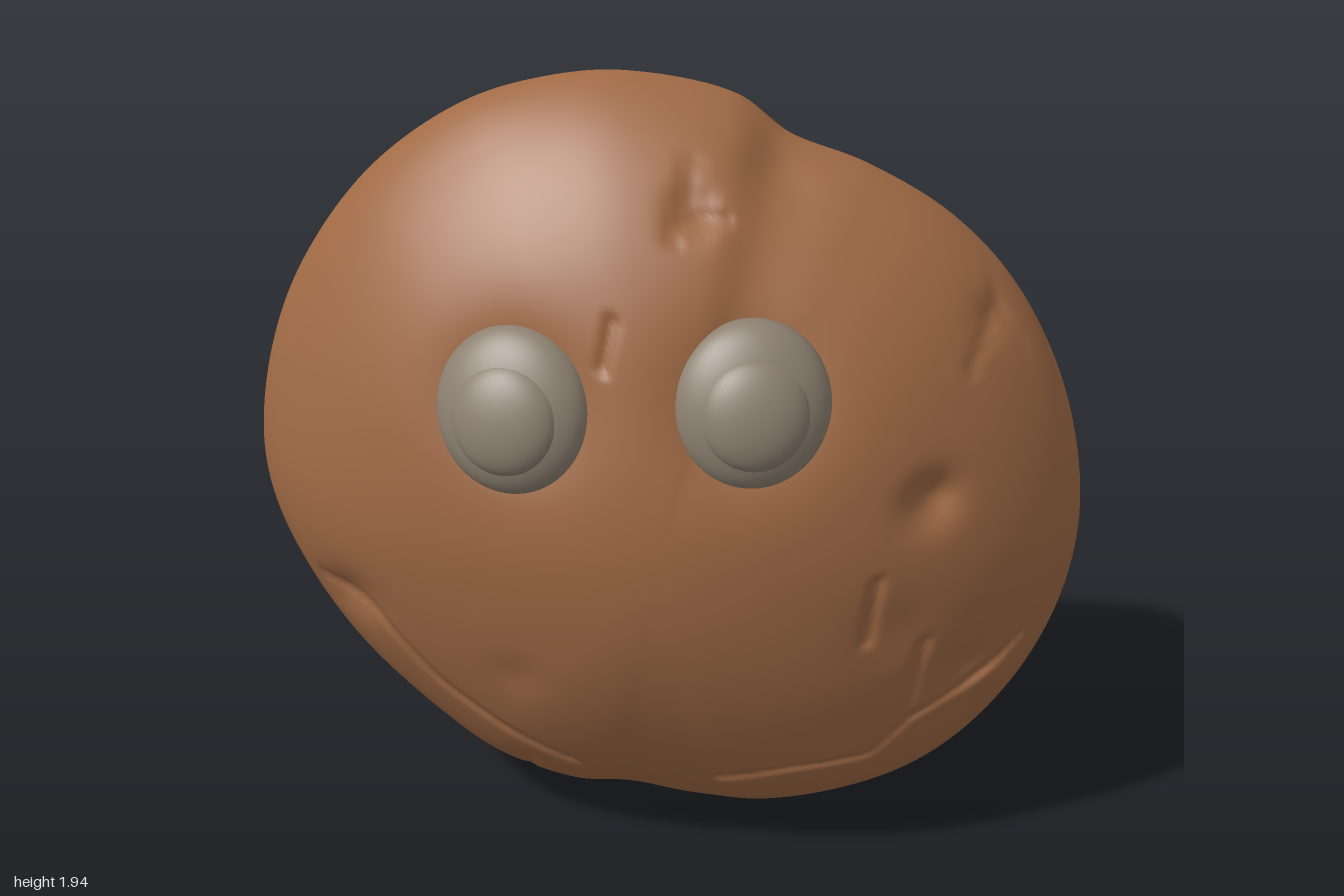
import * as THREE from 'three';

const CY = 0.97, BACK = -0.277, STEPS = 10, RINGS = 120;

// Lumpy rim, counter-clockwise from +x
const RIM = [
  [1, .88], [.94, 1.18], [.81, 1.44], [.65, 1.61], [.45, 1.73], [.27, 1.8], [.15, 1.89],
  [-.1, 1.94], [-.28, 1.925], [-.48, 1.86], [-.7, 1.7], [-.87, 1.47], [-.96, 1.25], [-1, 1],
  [-.98, .83], [-.9, .63], [-.78, .44], [-.6, .25], [-.45, .13], [-.25, .05], [-.1, .035],
  [.1, .01], [.25, 0], [.45, .04], [.63, .12], [.77, .24], [.9, .43], [.98, .65],
];
// Dents and sockets: x, y, depth, radius (negative depth is a bump)
const DENTS = [
  [-.33, 1.29, .06, .16], [.2, 1.31, .06, .16], [.07, 1.71, .03, .05], [.62, 1.05, .045, .06],
  [.76, 1.42, .03, .05], [.27, 1.79, .05, .08], [-.76, .68, .035, .07], [.8, .5, -.025, .08],
  [.72, .55, .03, .07], [-.1, .06, .03, .09], [.55, .72, .012, .1], [-.35, .58, .008, .06],
];
// Cracks: chains of x, y points
const CRACKS = [
  [[-.84, .7], [-.7, .66], [-.55, .48], [-.4, .37], [-.23, .26]],
  [[.13, .23], [.3, .28], [.5, .3], [.58, .4], [.62, .67]],
  [[.58, .41], [.72, .48], [.87, .6]],
  [[.7, 1.32], [.76, 1.42], [.75, 1.5]], [[.76, 1.42], [.84, 1.32]],
  [[.02, 1.66], [.06, 1.8]], [[.02, 1.68], [.14, 1.69]],
  [[-.36, .1], [-.34, .24]], [[-.03, .09], [-.02, .17]], [[.48, .7], [.5, .87]],
  [[.17, 1.87], [.24, 1.8], [.42, 1.73]], [[-.13, 1.4], [-.11, 1.5]],
];

function segmentDistance(x, y, [ax, ay], [bx, by]) {
  const dx = bx - ax, dy = by - ay;
  const k = THREE.MathUtils.clamp(((x - ax) * dx + (y - ay) * dy) / (dx * dx + dy * dy), 0, 1);
  return Math.hypot(x - ax - dx * k, y - ay - dy * k);
}

// Height of the dome at x, y, where t is the fraction of the way to the rim
function surfaceZ(x, y, t) {
  let z = BACK + 0.552 * Math.pow(Math.max(0, 1 - t * t), 0.67);
  let cut = 0.005 * Math.sin(7 * x + 2) * Math.sin(6 * y);
  for (const [dx, dy, depth, r] of DENTS) {
    cut += depth * Math.exp(-((x - dx) ** 2 + (y - dy) ** 2) / (r * r));
  }
  let nearest = 1;
  for (const line of CRACKS) {
    for (let i = 1; i < line.length; i++) {
      nearest = Math.min(nearest, segmentDistance(x, y, line[i - 1], line[i]));
    }
  }
  cut += 0.014 * Math.exp(-((nearest / 0.014) ** 2));
  return Math.max(BACK, z - cut * Math.min(1, (1 - t) * 12));
}

function domeGeometry(rim) {
  const n = rim.length, pos = [], index = [];
  for (let j = 0; j <= RINGS; j++) {
    const t = j === RINGS ? 1 : Math.sin((j / RINGS) * Math.PI / 2);
    for (const p of rim) {
      const x = p.x * t, y = CY + (p.y - CY) * t;
      pos.push(x, y, surfaceZ(x, y, t));
    }
  }
  for (let j = 0; j < RINGS; j++) {
    for (let i = 0; i < n; i++) {
      const a = j * n + i, b = j * n + (i + 1) % n;
      if (j > 0) index.push(a, b + n, b);
      index.push(a, a + n, b + n);
    }
  }
  const g = new THREE.BufferGeometry();
  g.setAttribute('position', new THREE.Float32BufferAttribute(pos, 3));
  g.setIndex(index);
  g.computeVertexNormals();
  return g;
}

// Flat fan facing back; lean tilts its normals outward to soften the rim
function backFan(points, lean) {
  const pos = [], nor = [], index = [];
  points.forEach((p, i) => {
    const out = new THREE.Vector3(p.x, p.y - CY, 0).normalize().multiplyScalar(lean);
    out.z = -1;
    out.normalize();
    pos.push(p.x, p.y, BACK);
    nor.push(out.x, out.y, out.z);
    if (i > 1) index.push(0, i, i - 1);
  });
  const g = new THREE.BufferGeometry();
  g.setAttribute('position', new THREE.Float32BufferAttribute(pos, 3));
  g.setAttribute('normal', new THREE.Float32BufferAttribute(nor, 3));
  g.setIndex(index);
  return g;
}

export function createModel() {
  const model = new THREE.Group();
  model.name = 'stoneFace';
  const clay = new THREE.MeshStandardMaterial({ color: 0xa06a45 });
  clay.name = 'brown clay';
  const grey = new THREE.MeshStandardMaterial({ color: 0x8c8070 });
  grey.name = 'grey stone';

  const add = (parent, name, geometry, material) => {
    const mesh = new THREE.Mesh(geometry, material);
    mesh.name = name;
    parent.add(mesh);
    return mesh;
  };

  // Domed face
  const curve = new THREE.CatmullRomCurve3(RIM.map(([x, y]) => new THREE.Vector3(x, y, 0)), true);
  const n = RIM.length * STEPS;
  const rim = Array.from({ length: n }, (_, i) => curve.getPoint(i / n));
  add(model, 'face', domeGeometry(rim), clay);

  // Flat back with softened edge segments
  const corners = [0, 2, 5, 10, 13, 17, 22].map((k) => k * STEPS);
  add(model, 'backPanel', backFan(corners.map((k) => rim[k]), 0), clay);
  corners.forEach((start, i) => {
    const end = corners[i + 1] ?? n;
    const arc = [];
    for (let k = start; k <= end; k++) arc.push(rim[k % n]);
    add(model, 'backEdge', backFan(arc, 0.8), clay);
  });

  // Eyes, each a shallow ball with a raised centre, tilted to follow the dome
  for (const [name, x, y, z] of [['rightEye', -.335, 1.285, .155], ['leftEye', .205, 1.31, .155]]) {
    const eye = new THREE.Group();
    eye.name = name;
    eye.position.set(x, y, z);
    eye.rotation.set(-0.27, x * 0.7, 0);
    const ball = add(eye, 'eyeball', new THREE.SphereGeometry(1, 40, 28), grey);
    ball.scale.set(0.18, 0.195, 0.09);
    const bump = add(eye, 'pupil', new THREE.SphereGeometry(1, 36, 24), grey);
    bump.scale.set(0.125, 0.13, 0.06);
    bump.position.set(0, -0.015, 0.052);
    model.add(eye);
  }
  return model;
}
